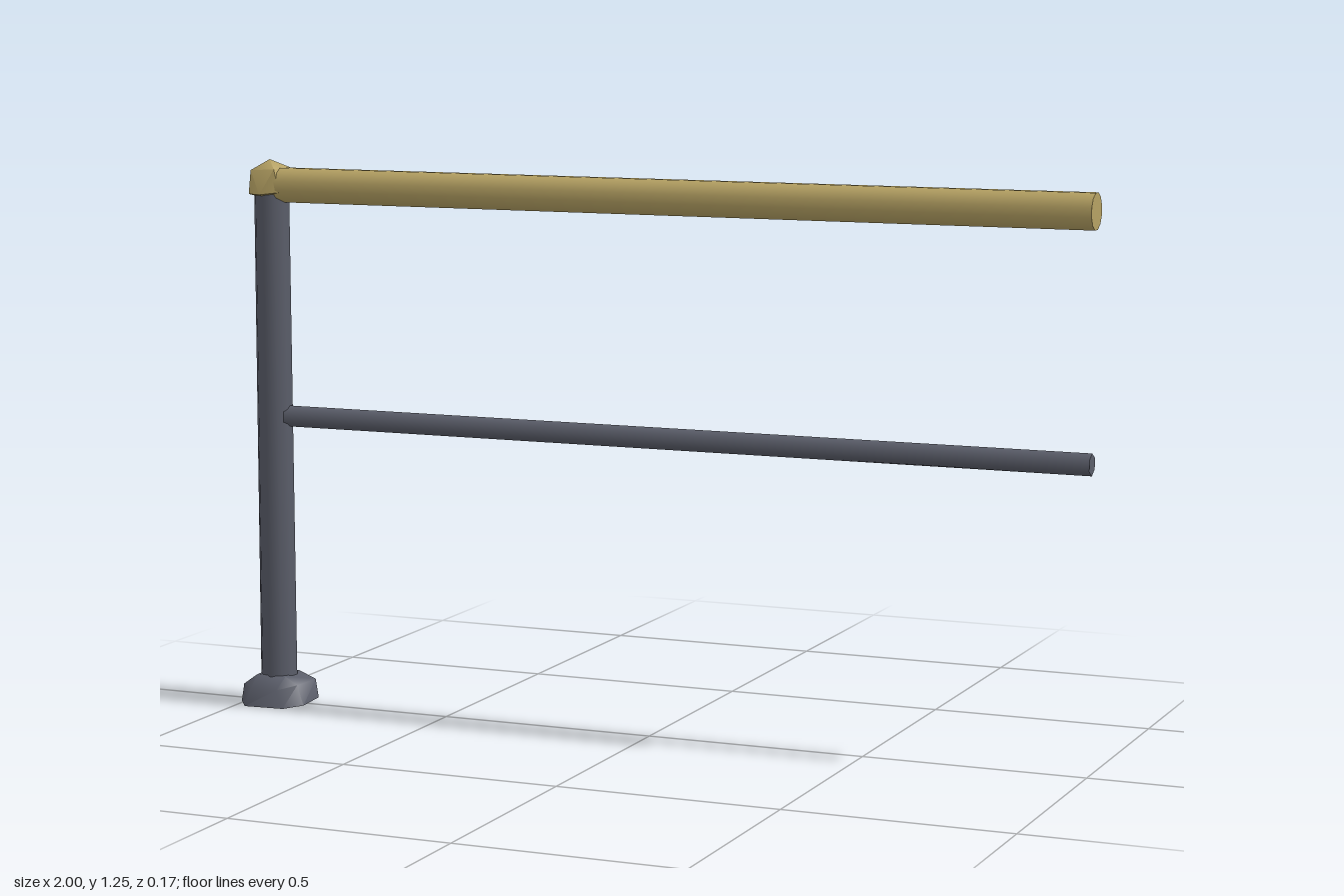
import * as THREE from 'three';
import { mergeVertices, toCreasedNormals } from 'three/addons/utils/BufferGeometryUtils.js';
import { ConvexGeometry } from 'three/addons/geometries/ConvexGeometry.js';

const POST_X = -0.926, AXIS_Z = 0.004;

export function createModel() {
  const group = new THREE.Group();
  const steel = new THREE.MeshStandardMaterial({ color: 0x5a5d69 });
  const brass = new THREE.MeshStandardMaterial({ color: 0xb5a163 });

  function add(name, geometry, material) {
    const mesh = new THREE.Mesh(geometry, material);
    mesh.name = name;
    group.add(mesh);
    return mesh;
  }

  // Horizontal round bar from the post to the open end
  function bar(name, y, radius, sides, material) {
    const length = 1 - POST_X;
    const geo = new THREE.CylinderGeometry(radius, radius, length, sides);
    geo.rotateY(Math.PI / sides);
    geo.rotateZ(Math.PI / 2);
    add(name, geo, material).position.set(1 - length / 2, y, AXIS_Z);
  }

  // Roughly cast, softly shaded lump enclosing a few corner points
  function lump(name, corners, material) {
    const geo = new ConvexGeometry(corners.map((c) => new THREE.Vector3(...c)));
    geo.deleteAttribute('normal');
    const smooth = mergeVertices(geo, 1e-4);
    smooth.computeVertexNormals();
    add(name, toCreasedNormals(smooth, 0.9), material);
  }

  // Upright post
  const post = new THREE.CylinderGeometry(0.04, 0.042, 1.16, 10);
  add('post', post, steel).position.set(POST_X, 0.61, AXIS_Z);

  // Rails
  bar('handRail', 1.195, 0.04, 12, brass);
  bar('lowerRail', 0.668, 0.024, 6, steel);

  // Uneven foot at the base of the post
  lump('foot', [
    [-1, 0.005, -0.045], [-1, 0.005, 0.05], [-0.975, 0, 0.082], [-0.88, 0, 0.075],
    [-0.842, 0.005, 0.045], [-0.845, 0.008, -0.035], [-0.93, 0, -0.052],
    [-0.955, 0.042, -0.085], [-0.995, 0.045, -0.055], [-0.993, 0.045, 0.05],
    [-0.855, 0.05, -0.04], [-0.86, 0.05, 0.04], [-0.9, 0.04, 0.068], [-0.965, 0.04, 0.068],
    [-0.965, 0.068, -0.035], [-0.895, 0.068, -0.035], [-0.89, 0.068, 0.04], [-0.962, 0.068, 0.045],
  ], steel);

  // Faceted knuckle joining the hand rail to the post
  lump('railKnuckle', [
    [-0.932, 1.252, 0], [-0.965, 1.228, 0.03], [-0.9, 1.232, 0.04], [-0.895, 1.232, -0.03],
    [-0.96, 1.225, -0.036], [-0.977, 1.175, 0.015], [-0.965, 1.172, -0.035],
    [-0.93, 1.18, -0.05], [-0.89, 1.18, -0.04], [-0.93, 1.175, 0.055],
    [-0.888, 1.18, 0.04], [-0.965, 1.175, 0.04], [-0.93, 1.16, 0],
  ], brass);

  return group;
}
